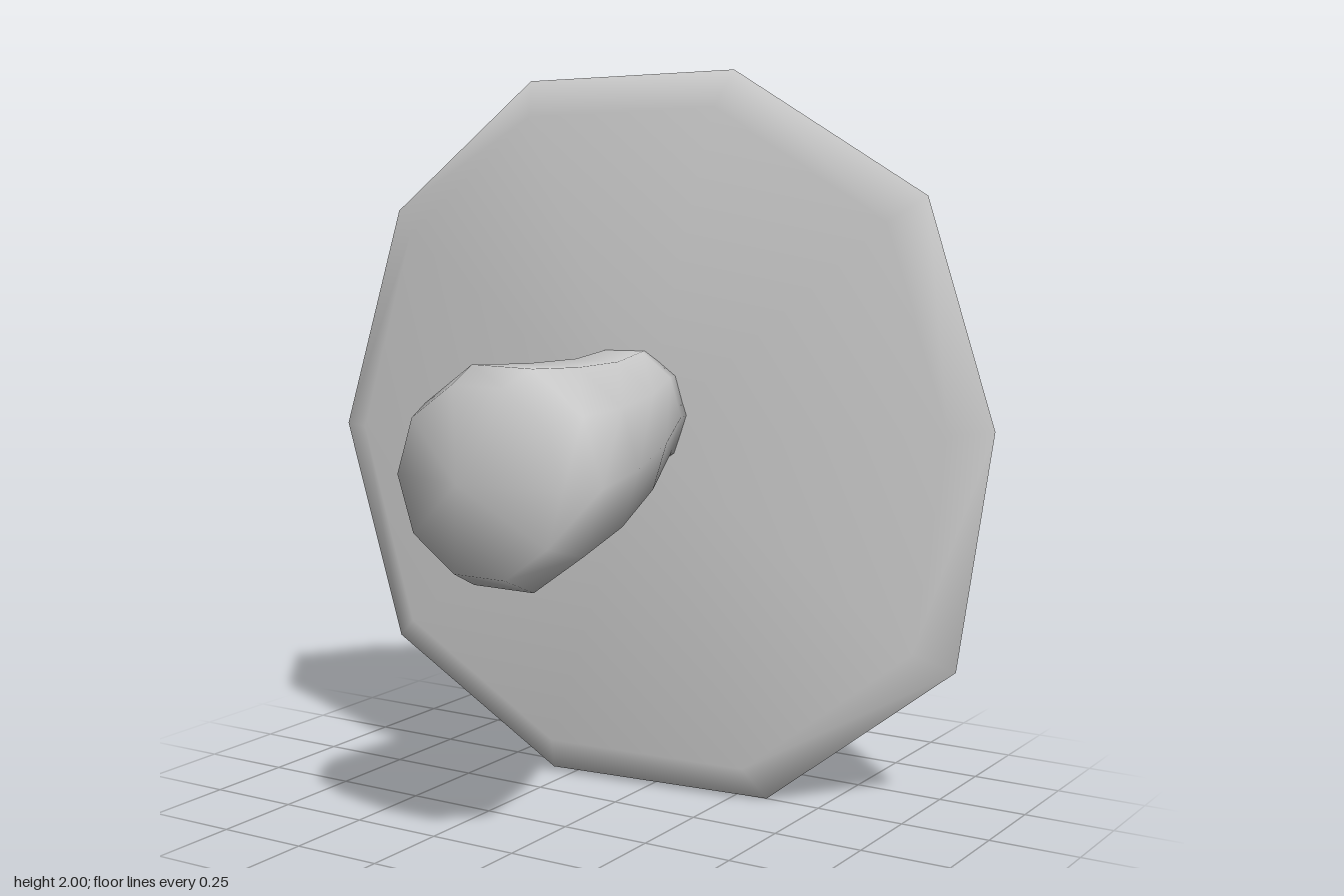
import * as THREE from 'three';
import { mergeVertices } from 'three/addons/utils/BufferGeometryUtils.js';

const SIDES = 10;

// Skin a list of rings (each SIDES points, counter-clockwise from +z), ordered towards +z.
function loft(name, rings) {
  const index = [];
  for (let r = 0; r < rings.length - 1; r++) {
    for (let i = 0; i < SIDES; i++) {
      const a = r * SIDES + i, b = r * SIDES + (i + 1) % SIDES;
      index.push(a, b, a + SIDES, b, b + SIDES, a + SIDES);
    }
  }
  let geometry = new THREE.BufferGeometry();
  geometry.setAttribute('position', new THREE.Float32BufferAttribute(rings.flat(2), 3));
  geometry.setIndex(index);
  geometry = mergeVertices(geometry); // welds collapsed rings into poles
  geometry.computeVertexNormals();
  const mesh = new THREE.Mesh(geometry, new THREE.MeshStandardMaterial({ color: 0xcccccc }));
  mesh.name = name;
  return mesh;
}

// Irregular, tilted rim of the cap
const RIM = [
  [0.91, 1.05, -0.44], [0.73, 1.67, -0.38], [0.19, 2.0, -0.3], [-0.33, 1.97, -0.09],
  [-0.73, 1.61, -0.01], [-0.92, 0.99, 0], [-0.76, 0.37, -0.03], [-0.31, 0.01, -0.16],
  [0.34, 0, -0.25], [0.84, 0.4, -0.38],
];

// Domed outside: [scale of the rim, rise towards the crown], steeper on the -x side
function capDome() {
  const profile = [[0, 1], [0.12, 0.99], [0.3, 0.92], [0.4, 0.86], [0.5, 0.77],
    [0.62, 0.62], [0.77, 0.38], [0.88, 0.2], [1, 0]];
  return loft('capDome', profile.map(([s, rise]) => RIM.map(([x, y, z]) => {
    const f = rise - 0.35 * rise * (1 - rise) * x;
    return [0.03 + (x - 0.03) * s, 1 + (y - 1) * s, z + (-0.82 - z) * f];
  })));
}

// Bevelled lip and nearly flat underside
function capUnderside() {
  const lip = RIM.map(([x, y, z]) => [x * 0.9, 1 + (y - 1) * 0.9, z + 0.07 + 0.035 * x]);
  return loft('capUnderside', [RIM, lip, RIM.map(() => [0, 1, -0.13])]);
}

// Curved stem that swells towards a rounded foot: [x, y, z, radius]
function stem() {
  const stations = [
    [-0.06, 1.07, -0.2, 0], [-0.06, 1.07, -0.2, 0.18], [-0.045, 1.07, -0.12, 0.18],
    [0.045, 1.045, 0.16, 0.212], [0.1, 1.025, 0.45, 0.252], [0.115, 1.015, 0.69, 0.285],
    [0.1, 1.015, 0.77, 0.242], [0.07, 1.015, 0.82, 0],
  ];
  return loft('stem', stations.map(([x, y, z, r]) => Array.from({ length: SIDES }, (_, i) => {
    const a = i / SIDES * Math.PI * 2;
    return [x + r * Math.cos(a), y + r * Math.sin(a), z];
  })));
}

export function createModel() {
  const group = new THREE.Group();
  group.name = 'mushroom';
  group.add(capDome(), capUnderside(), stem());
  return group;
}
